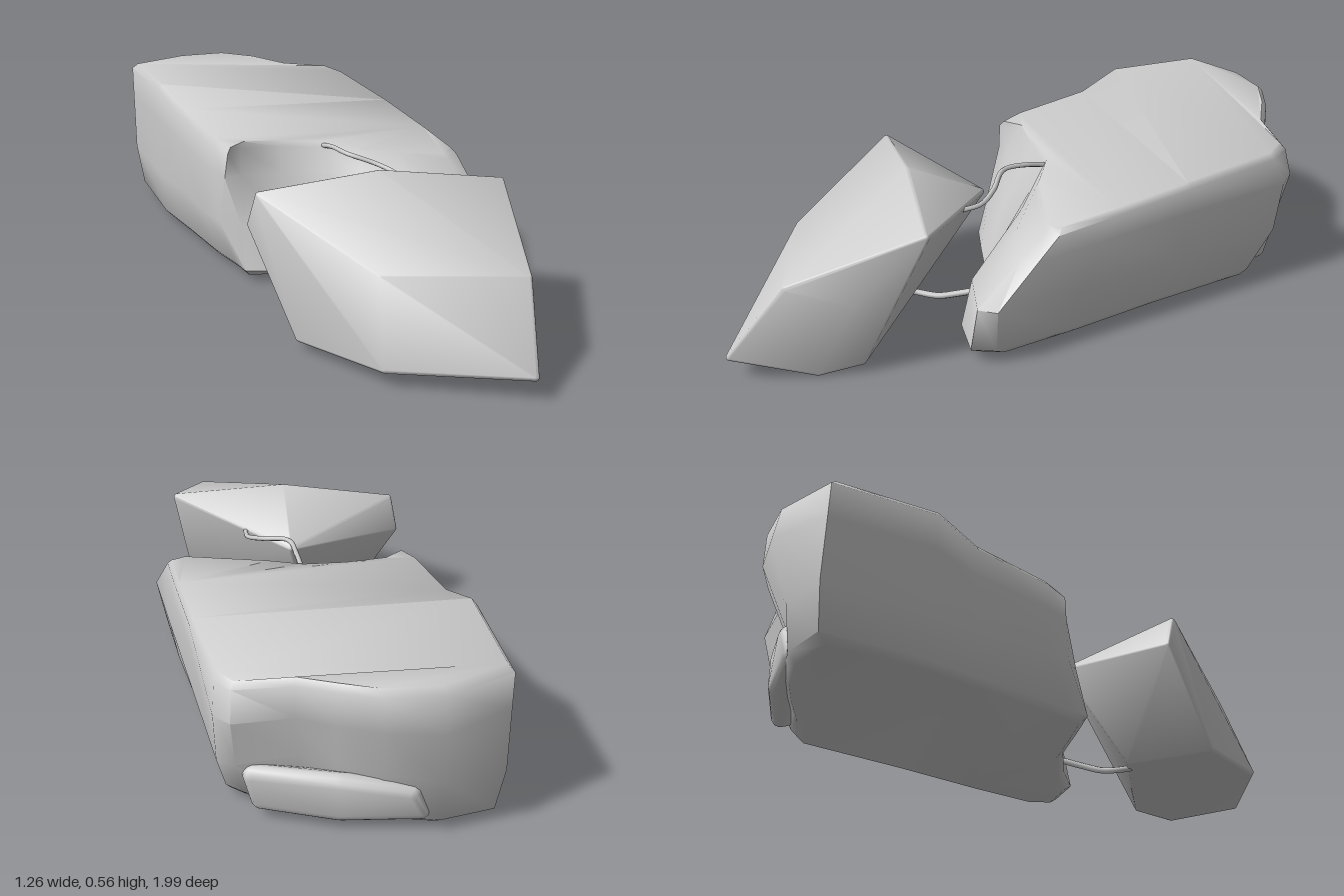
import * as THREE from 'three';
import { toCreasedNormals } from 'three/addons/utils/BufferGeometryUtils.js';
import { ConvexGeometry } from 'three/addons/geometries/ConvexGeometry.js';

// Outline of the large boulder, clockwise from above:
// foot x, z | waist x, z | crown x, z, height
const outline = [
  [-.61, -.83, -.635, -.84, -.635, -.83, .555],
  [-.45, -.90, -.46, -.92, -.45, -.96, .55],
  [-.28, -.90, -.28, -.90, -.28, -.99, .55],
  [-.15, -.88, -.14, -.87, -.15, -.96, .54],
  [-.02, -.85, -.02, -.83, -.02, -.91, .52],
  [.15, -.83, .16, -.90, .16, -.92, .50],
  [.21, -.80, .22, -.88, .22, -.86, .49],
  [.36, -.42, .37, -.50, .36, -.52, .465],
  [.50, -.10, .52, -.12, .46, -.25, .44],
  [.60, .16, .63, .16, .53, -.05, .42],
  [.58, .24, .60, .22, .49, -.01, .415],
  [.42, .25, .40, .21, .33, -.02, .42],
  [.28, .18, .22, .11, .18, -.04, .43],
  [.10, .12, .08, .04, .05, -.09, .45],
  [-.10, .11, -.09, .04, -.10, -.08, .46],
  [-.24, .10, -.25, .06, -.24, -.05, .47],
  [-.27, .03, -.325, .01, -.29, .01, .47],
  [-.34, -.10, -.37, -.08, -.34, -.06, .48],
  [-.45, -.35, -.46, -.33, -.45, -.33, .51],
  [-.52, -.50, -.53, -.48, -.53, -.48, .565],
];

// The caps are filled in strips from back to front
const capStrips = [
  [0, 1, 2, 3, 4, 5, 6],
  [19, 0, 6, 7],
  [18, 19, 7, 8],
  [8, 9, 10, 11, 12, 13, 14, 15, 16, 17, 18],
];

// Stacked loops with bevelled rims, closed by a cap above and below
function boulderGeometry() {
  const inset = (x, z, y, k) => [x * k, y, -.4 + (z + .4) * k];
  // Shoulder loop between waist and crown, swelling out at the back
  const shoulder = ([, , wx, wz, cx, cz, h]) => [
    wx + (cx - wx) * .65,
    .2 + (h - .22) * .65,
    wz + (cz - wz) * .65 - (cz < -.84 ? .035 : 0),
  ];
  const rings = [
    outline.map(p => inset(p[0], p[1], .02, .95)),
    outline.map(p => [p[0], .045, p[1]]),
    outline.map(p => [p[2], .2, p[3]]),
    outline.map(shoulder),
    outline.map(p => [p[4], p[6] - .02, p[5]]),
    outline.map(p => inset(p[4], p[5], p[6], .965)),
  ];
  const n = outline.length;
  const pos = [];
  const tri = (a, b, c) => pos.push(...a, ...b, ...c);
  for (let r = 0; r < rings.length - 1; r++) {
    for (let i = 0; i < n; i++) {
      const j = (i + 1) % n;
      const lo = rings[r], hi = rings[r + 1];
      tri(lo[i], hi[i], hi[j]);
      tri(lo[i], hi[j], lo[j]);
    }
  }
  const cap = (ring, up) => {
    for (const strip of capStrips) {
      const pts = strip.map(i => ring[i]);
      const flat = pts.map(p => new THREE.Vector2(p[0], p[2]));
      for (const [i, j, k] of THREE.ShapeUtils.triangulateShape(flat, [])) {
        const a = pts[i], b = pts[j], c = pts[k];
        const ny = (b[2] - a[2]) * (c[0] - a[0]) - (b[0] - a[0]) * (c[2] - a[2]);
        if ((ny > 0) === up) tri(a, b, c);
        else tri(a, c, b);
      }
    }
  };
  cap(rings[0], false);
  cap(rings[rings.length - 1], true);
  const g = new THREE.BufferGeometry();
  g.setAttribute('position', new THREE.Float32BufferAttribute(pos, 3));
  return toCreasedNormals(g, 1);
}

// Convex stone whose corners are rounded by small balls
function roundedHull(corners, r) {
  const ball = new THREE.IcosahedronGeometry(r, 1).attributes.position;
  const pts = [];
  for (const c of corners) {
    for (let i = 0; i < ball.count; i++) {
      pts.push(new THREE.Vector3().fromBufferAttribute(ball, i).add(new THREE.Vector3(...c)));
    }
  }
  return toCreasedNormals(new ConvexGeometry(pts), .7);
}

export function createModel() {
  const group = new THREE.Group();
  const stone = new THREE.MeshStandardMaterial({ color: 0xcccccc });
  stone.name = 'grey stone';
  const add = (name, geometry) => {
    const mesh = new THREE.Mesh(geometry, stone);
    mesh.name = name;
    group.add(mesh);
  };

  add('largeBoulder', boulderGeometry());

  // Wedge-shaped stone in front
  add('smallBoulder', roundedHull([
    [-.21, .46, .43], [.18, .503, .39], [.58, .455, .37],
    [-.235, .35, .40], [.12, .38, .14], [.10, .04, .37],
    [-.10, .04, .60], [.13, .06, .86], [.13, .31, .75],
    [.55, .08, .985], [.565, .31, .80], [.575, .013, .72],
    [.575, .04, .58], [.59, .25, .60],
  ], .012));

  // Low lip along the back of the large boulder
  add('backLip', roundedHull([
    [-.39, .07, -.88], [-.36, .14, -.895], [-.15, .06, -.90], [-.15, .16, -.90],
    [.09, .06, -.87], [.11, .16, -.885], [-.36, .10, -.82], [.12, .10, -.80],
  ], .033));

  // Thin strands bridging the gap
  const strand = (name, points, r) => add(name, new THREE.TubeGeometry(
    new THREE.CatmullRomCurve3(points.map(p => new THREE.Vector3(...p))), 24, r, 6));
  strand('upperStrand', [
    [.05, .43, -.11], [.08, .45, -.03], [.12, .455, .06],
    [.22, .43, .11], [.28, .41, .16], [.30, .40, .24],
  ], .009);
  strand('lowerStrand', [
    [.28, .09, .17], [.24, .06, .24], [.20, .035, .30], [.16, .03, .36], [.14, .04, .42],
  ], .012);
  return group;
}
